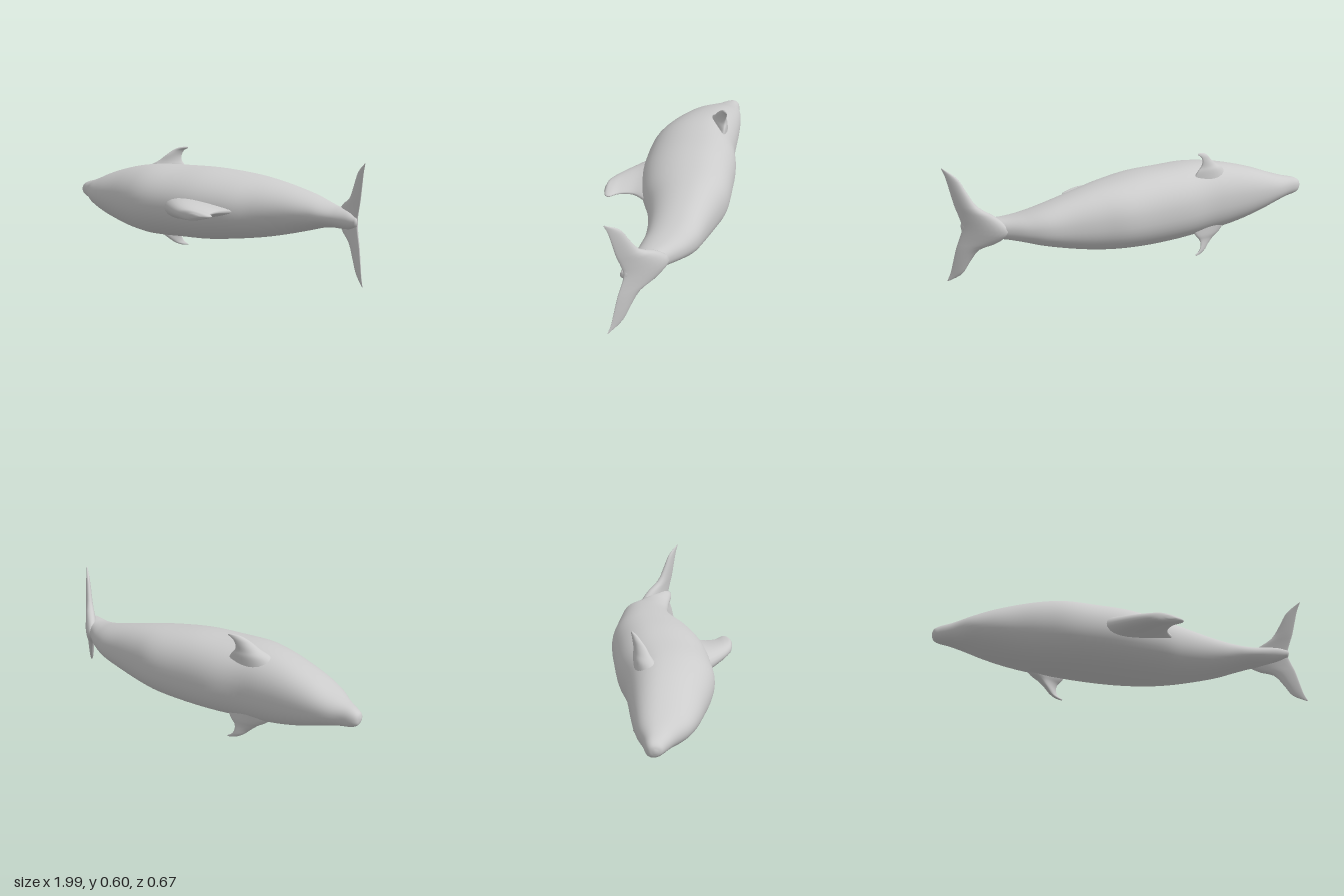
import * as THREE from 'three';

const MID = 0.3; // height of the symmetry plane
const material = new THREE.MeshStandardMaterial({ color: 0xcccccc });

// Smoothly resample rows of numbers
function resample(rows, count) {
  const size = rows[0].length;
  const curve = new THREE.CubicInterpolant(rows.map((_, i) => i), rows.flat(), size, new Float32Array(size));
  return Array.from({ length: count + 1 }, (_, i) => [...curve.evaluate((i / count) * (rows.length - 1))]);
}

// Closed skin over a list of rings, with a centre point capping each end
function loft(name, rings) {
  const n = rings[0].length, last = rings.length - 1;
  const points = rings.flat();
  const index = [];
  for (let i = 0; i < last; i++) {
    for (let j = 0; j < n; j++) {
      const a = i * n + j, b = i * n + (j + 1) % n;
      index.push(a, b, a + n, b, b + n, a + n);
    }
  }
  [0, last].forEach((r) => {
    const centre = new THREE.Vector3();
    rings[r].forEach((p) => centre.addScaledVector(p, 1 / n));
    const c = points.push(centre) - 1;
    for (let j = 0; j < n; j++) {
      const a = r * n + j, b = r * n + (j + 1) % n;
      if (r === 0) index.push(c, b, a); else index.push(c, a, b);
    }
  });
  // Turn the skin outward if its enclosed volume is negative
  let volume = 0;
  const cross = new THREE.Vector3();
  for (let i = 0; i < index.length; i += 3) {
    volume += points[index[i]].dot(cross.crossVectors(points[index[i + 1]], points[index[i + 2]]));
  }
  if (volume < 0) index.reverse();
  const geometry = new THREE.BufferGeometry().setFromPoints(points);
  geometry.setIndex(index);
  geometry.computeVertexNormals();
  const mesh = new THREE.Mesh(geometry, material);
  mesh.name = name;
  return mesh;
}

// Fin from rows [lead x, y, z, trail x, y, z, half thickness], rounded in front and thin behind
function fin(name, rows, thickDir) {
  const rings = resample(rows, 30).map(([ax, ay, az, bx, by, bz, t]) => {
    const lead = new THREE.Vector3(ax, ay, az), trail = new THREE.Vector3(bx, by, bz);
    return Array.from({ length: 24 }, (_, j) => {
      const a = (j / 24) * Math.PI * 2;
      const thick = Math.sin(a) * t * (1 - 0.45 * Math.cos(a));
      return lead.clone().lerp(trail, 0.5 + 0.5 * Math.cos(a)).addScaledVector(thickDir, thick);
    });
  });
  return loft(name, rings);
}

export function createModel() {
  const model = new THREE.Group();

  // Body stations: x, half width in y, belly z, back z
  const stations = [
    [-1, 0.008, -0.245, -0.23], [-0.99, 0.03, -0.27, -0.205], [-0.96, 0.046, -0.283, -0.18],
    [-0.9, 0.06, -0.288, -0.13], [-0.82, 0.085, -0.303, -0.05], [-0.72, 0.122, -0.31, 0.01],
    [-0.6, 0.157, -0.311, 0.062], [-0.47, 0.183, -0.309, 0.115], [-0.34, 0.196, -0.31, 0.153],
    [-0.18, 0.197, -0.332, 0.163], [0, 0.195, -0.333, 0.16], [0.18, 0.178, -0.327, 0.128],
    [0.32, 0.158, -0.293, 0.08], [0.46, 0.128, -0.257, 0.05], [0.59, 0.094, -0.222, 0.042],
    [0.68, 0.068, -0.172, 0.054], [0.75, 0.054, -0.113, 0.068], [0.81, 0.05, -0.058, 0.084],
    [0.87, 0.042, 0.005, 0.1], [0.92, 0.02, 0.075, 0.105],
  ];
  const rings = resample(stations, 90).map(([x, w, belly, back]) => {
    const wide = THREE.MathUtils.lerp(belly, back, 0.42); // broadest nearer the belly
    return Array.from({ length: 48 }, (_, j) => {
      const a = (j / 48) * Math.PI * 2, s = Math.sin(a), c = Math.cos(a);
      const round = s < 0 ? 0.9 : 0.97; // blunter underside
      const y = Math.sign(c) * Math.abs(c) ** round * w;
      const z = Math.sign(s) * Math.abs(s) ** round * (s < 0 ? wide - belly : back - wide);
      return new THREE.Vector3(x, MID + y, wide + z);
    });
  });
  model.add(loft('body', rings));

  // Dorsal fin: z, lead x, trail x, half thickness
  const dorsal = [
    [0.04, -0.28, 0.31, 0.08], [0.12, -0.2, 0.225, 0.06], [0.18, -0.13, 0.182, 0.045],
    [0.25, -0.05, 0.188, 0.034], [0.295, 0.01, 0.225, 0.028], [0.32, 0.06, 0.215, 0.023],
    [0.333, 0.12, 0.17, 0.008],
  ].map(([z, a, b, t]) => [a, MID, z, b, MID, z, t]);
  model.add(fin('dorsalFin', dorsal, new THREE.Vector3(0, 1, 0)));

  // Flippers: offset from the middle, lead x, z, trail x, z, half thickness
  const flipper = [
    [0.12, -0.52, -0.19, -0.25, -0.24, 0.05], [0.175, -0.475, -0.195, -0.28, -0.25, 0.04],
    [0.205, -0.425, -0.205, -0.305, -0.253, 0.028], [0.235, -0.387, -0.215, -0.31, -0.258, 0.02],
    [0.262, -0.355, -0.232, -0.297, -0.262, 0.013], [0.278, -0.325, -0.245, -0.272, -0.265, 0.008],
    [0.284, -0.295, -0.256, -0.275, -0.265, 0.003],
  ];
  for (const [name, side] of [['upperFlipper', 1], ['lowerFlipper', -1]]) {
    const rows = flipper.map(([o, ax, az, bx, bz, t]) => [ax, MID + side * o, az, bx, MID + side * o, bz, t]);
    model.add(fin(name, rows, new THREE.Vector3(0, 0, 1)));
  }

  // Tail flukes: offset from the middle, lead x, trail x, half thickness; mirrored about the middle
  const half = [
    [0, 0.75, 0.92, 0.03], [0.065, 0.795, 0.933, 0.024], [0.11, 0.86, 0.945, 0.018],
    [0.18, 0.897, 0.958, 0.014], [0.235, 0.92, 0.968, 0.01], [0.265, 0.942, 0.975, 0.006],
    [0.298, 0.982, 0.986, 0.001],
  ];
  const slope = (x) => 0.065 + 1.1 * (x - 0.9);
  const row = (side) => ([o, a, b, t]) => [a, MID + side * o, slope(a), b, MID + side * o, slope(b), t];
  const flukes = [...half.slice(1).reverse().map(row(-1)), ...half.map(row(1))];
  model.add(fin('tailFlukes', flukes, new THREE.Vector3(-0.74, 0, 0.67)));

  return model;
}
